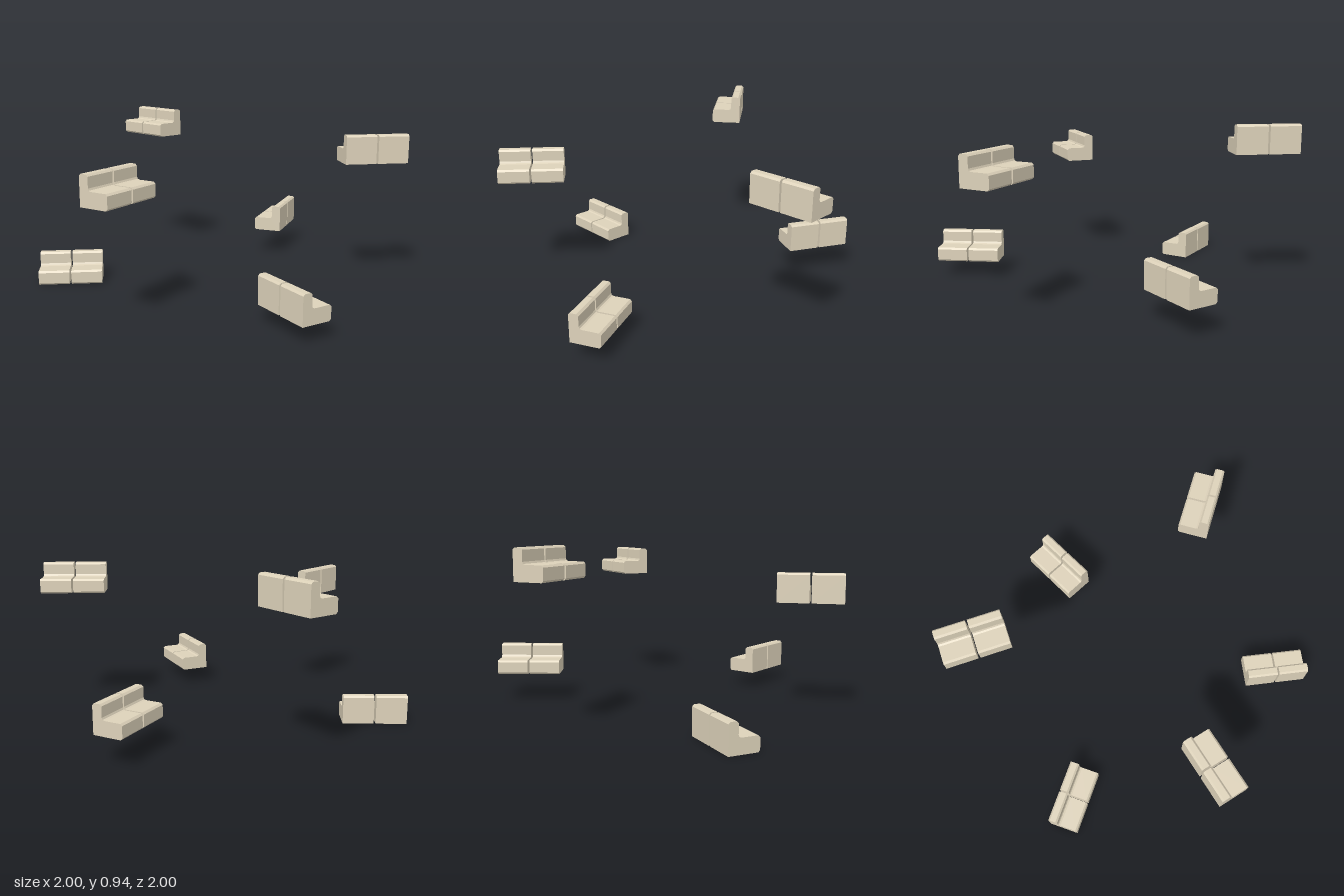
import * as THREE from 'three';

const DEPTH = 0.17, HEIGHT = 0.162, SEAT = 0.082, BACK = 0.054;
const LENGTH = 0.175, GAP = 0.011;

// L-shaped bench section: x runs from the back to the seat edge
function benchProfile() {
  const c = 0.01, f = 0.014, b = -DEPTH / 2, e = DEPTH / 2, r = b + BACK;
  return new THREE.Shape([
    [b, 0], [e - c, 0], [e, c],
    [e, SEAT - c], [e - c, SEAT],
    [r + f, SEAT], [r + f * 0.3, SEAT + f * 0.3], [r, SEAT + f],
    [r, HEIGHT - c], [r - c, HEIGHT],
    [b + c, HEIGHT], [b, HEIGHT - c],
  ].map(([x, y]) => new THREE.Vector2(x, y)));
}

export function createModel() {
  const model = new THREE.Group();
  model.name = 'benchRing';
  const material = new THREE.MeshStandardMaterial({ color: 0xddd2ba, flatShading: true });

  // One half of a bench, extruded along x with the seat facing +z
  const section = new THREE.ExtrudeGeometry(benchProfile(), { depth: LENGTH, bevelEnabled: false });
  section.translate(0, 0, -LENGTH / 2);
  section.rotateY(-Math.PI / 2);

  // Centre x, base height, centre z, heading of the seat
  const places = [
    [0.245, 0.775, -0.82, -1.6],
    [0.797, 0.16, -0.213, -2.73],
    [0.615, 0.71, 0.642, 2.49],
    [-0.285, 0.092, 0.805, 1.325],
    [-0.807, 0.62, 0.13, 0.19],
    [-0.587, 0, -0.613, -0.705],
  ];
  places.forEach(([x, y, z, heading], i) => {
    const bench = new THREE.Group();
    bench.name = `bench${i + 1}`;
    for (const side of [1, -1]) {
      const half = new THREE.Mesh(section, material);
      half.name = side > 0 ? 'leftSection' : 'rightSection';
      half.position.x = side * (LENGTH + GAP) / 2;
      bench.add(half);
    }
    bench.position.set(x, y, z);
    bench.rotation.y = heading;
    model.add(bench);
  });
  return model;
}
